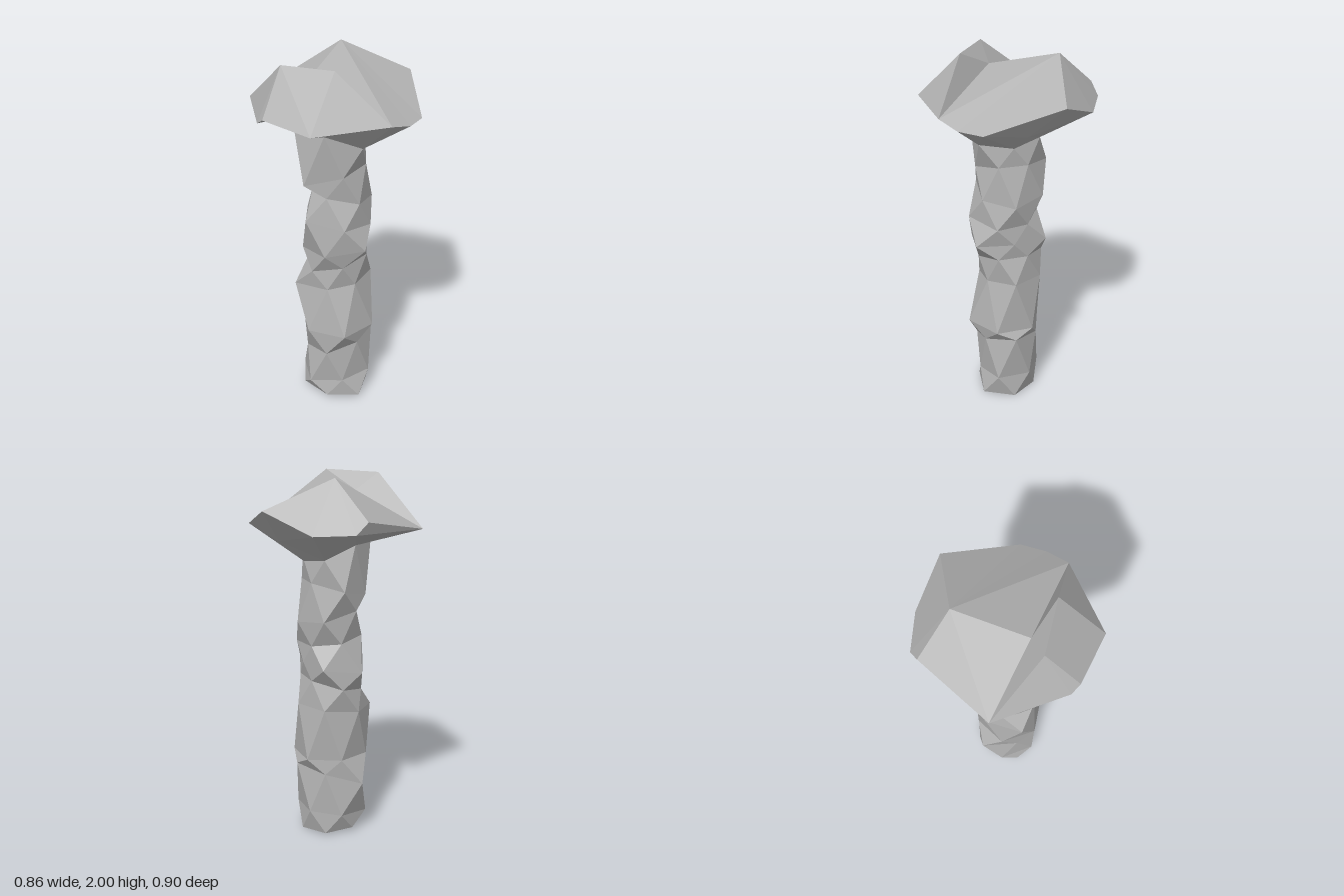
import * as THREE from 'three';

const stone = new THREE.MeshStandardMaterial({ color: 0xb2b2b2 });
stone.name = 'grey stone';
stone.flatShading = true;

const AXIS_Z = 0.03;

// Sort the points of a ring around the pillar axis
const angle = (p) => Math.atan2(p[2] - AXIS_Z, p[0]);
const sorted = (ring) => [...ring].sort((a, b) => angle(a) - angle(b));

// Join two irregular rings with a band of triangles
function stitch(lower, upper, out) {
  const a = sorted(lower), b = sorted(upper), n = a.length, m = b.length;
  const turn = (r, k) => angle(r[k % r.length]) + 2 * Math.PI * Math.floor(k / r.length);
  let i = 0, j = 0;
  while (i < n || j < m) {
    const stepA = j === m || (i < n && turn(a, i) + turn(a, i + 1) < turn(b, j) + turn(b, j + 1));
    if (stepA) {
      out.push(a[i % n], b[j % m], a[(i + 1) % n]);
      i++;
    } else {
      out.push(a[i % n], b[j % m], b[(j + 1) % m]);
      j++;
    }
  }
}

// Fan a polygon into triangles that face away from a centre
function facet(points, centre, out) {
  const v = points.map((p) => new THREE.Vector3(...p));
  for (let i = 1; i < v.length - 1; i++) {
    const tri = new THREE.Triangle(v[0], v[i], v[i + 1]);
    const normal = tri.getNormal(new THREE.Vector3());
    const away = tri.getMidpoint(new THREE.Vector3()).sub(centre);
    if (normal.dot(away) > 0) out.push(points[0], points[i], points[i + 1]);
    else out.push(points[0], points[i + 1], points[i]);
  }
}

function rock(name, corners) {
  const geometry = new THREE.BufferGeometry();
  geometry.setAttribute('position', new THREE.Float32BufferAttribute(corners.flat(), 3));
  geometry.computeVertexNormals();
  const mesh = new THREE.Mesh(geometry, stone);
  mesh.name = name;
  return mesh;
}

// Shaft levels: height, sideways tilt, then six radii
const levels = [
  [0.015, -0.08, 0.17, 0.19, 0.17, 0.19, 0.16, 0.16],
  [0.12, 0.1, 0.19, 0.16, 0.2, 0.2, 0.18, 0.18],
  [0.34, 0.3, 0.2, 0.17, 0.18, 0.17, 0.23, 0.17],
  [0.45, 0, 0.21, 0.22, 0.21, 0.2, 0.18, 0.2],
  [0.73, 0.1, 0.19, 0.15, 0.16, 0.235, 0.2, 0.19],
  [0.86, 0.25, 0.17, 0.16, 0.18, 0.17, 0.2, 0.16],
  [0.96, 0.15, 0.16, 0.23, 0.2, 0.19, 0.22, 0.22],
  [1.11, -0.15, 0.19, 0.21, 0.22, 0.17, 0.17, 0.16],
  [1.26, -0.25, 0.19, 0.18, 0.17, 0.13, 0.18, 0.2],
  [1.4, 0.25, 0.16, 0.17, 0.23, 0.19, 0.22, 0.16],
  [1.6, -0.4, 0.15, 0.2, 0.2, 0.235, 0.17, 0.18],
];

// Every second level is turned by half a side
const shaftRings = levels.map(([height, tilt, ...radii], level) => radii.map((r, k) => {
  const t = (k + (level % 2) / 2) * Math.PI / 3;
  const x = r * Math.cos(t);
  return [x, height + tilt * x, AXIS_Z + r * Math.sin(t)];
}));

// Corners of the cap: rim first, then the raised points
const cap = {
  back: [0.04, 1.74, -0.455], backLeft: [0.235, 1.73, -0.36], under: [0.3, 1.66, 0],
  left: [0.39, 1.725, 0.25], leftFront: [0.305, 1.73, 0.355], front: [0.195, 1.76, 0.425],
  frontRight: [-0.21, 1.745, 0.45], right: [-0.41, 1.765, 0.235], rightLow: [-0.43, 1.73, 0.18],
  backRight: [-0.42, 1.72, -0.23],
  ridge: [0.07, 2, -0.23], shoulder: [-0.03, 1.8, -0.44], valley: [-0.16, 1.9, 0.08],
  leftTip: [0.43, 1.84, -0.155], peakA: [-0.295, 1.99, 0.09], peakB: [-0.055, 2, 0.255],
};
const rim = ['back', 'backLeft', 'under', 'left', 'leftFront', 'front', 'frontRight', 'right', 'rightLow', 'backRight'];
const capFaces = [
  'valley backRight peakA peakB front',
  'peakA peakB frontRight right',
  'peakB front frontRight',
  'peakA right rightLow backRight',
  'ridge valley backRight shoulder',
  'ridge leftTip left leftFront front valley',
  'ridge shoulder back backLeft leftTip',
  'backRight shoulder back',
  'leftTip backLeft under',
  'leftTip under left',
];

export function createModel() {
  const group = new THREE.Group();
  group.name = 'rock pillar';

  // Shaft with a closed foot
  const shaft = [];
  const foot = sorted(shaftRings[0]);
  for (let i = 1; i < foot.length - 1; i++) shaft.push(foot[0], foot[i], foot[i + 1]);
  for (let i = 0; i < shaftRings.length - 1; i++) stitch(shaftRings[i], shaftRings[i + 1], shaft);
  group.add(rock('shaft', shaft));

  // Cap with a flared underside
  const top = [];
  stitch(shaftRings[shaftRings.length - 1], rim.map((k) => cap[k]), top);
  const centre = new THREE.Vector3(-0.2, 1.5, 0);
  for (const face of capFaces) facet(face.split(' ').map((k) => cap[k]), centre, top);
  group.add(rock('cap', top));

  return group;
}
